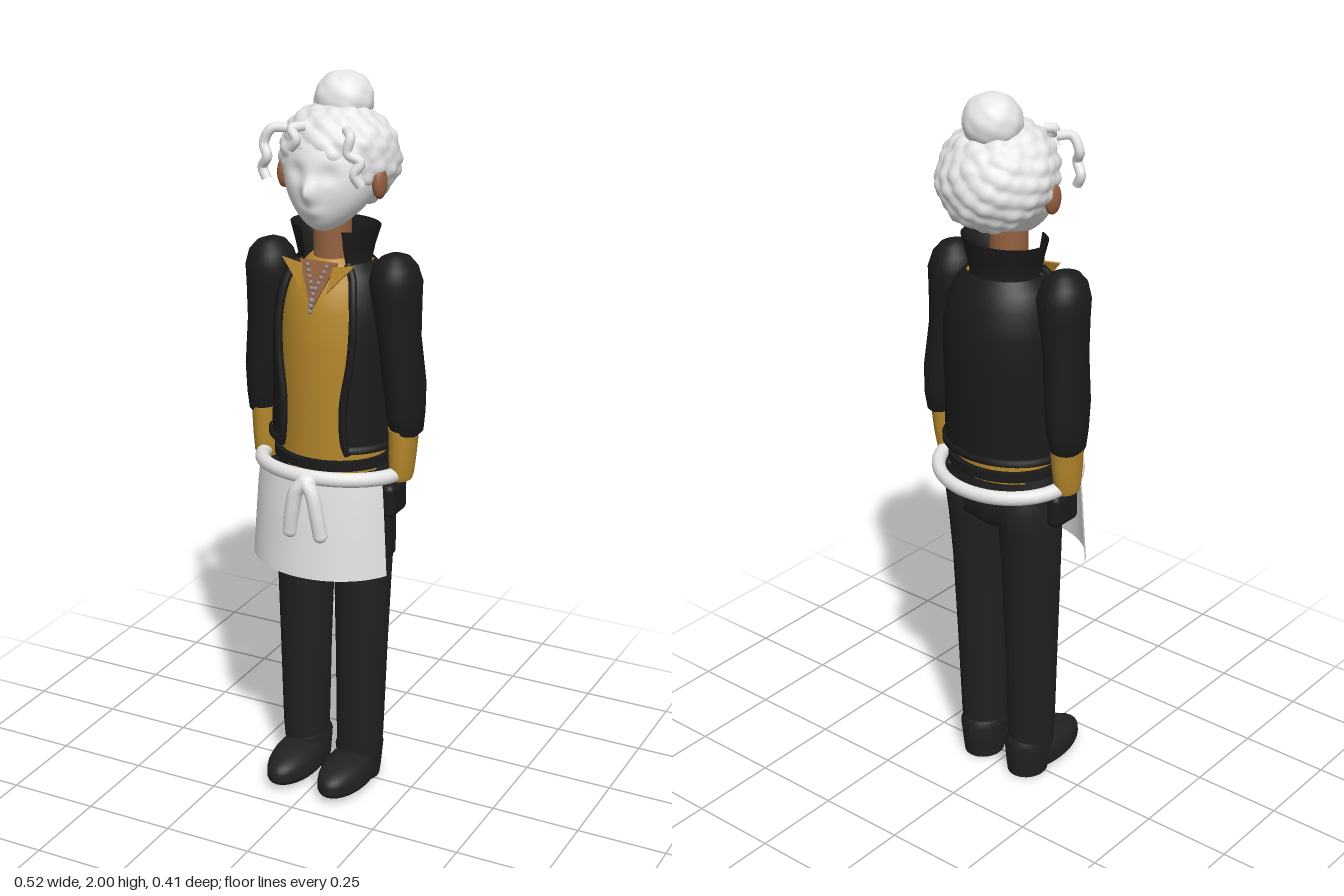
import * as THREE from 'three';
import { RoundedBoxGeometry } from 'three/addons/geometries/RoundedBoxGeometry.js';

const mat = (name, color, side = THREE.FrontSide) => {
  const m = new THREE.MeshStandardMaterial({ color, side });
  m.name = name;
  return m;
};
const TAU = Math.PI * 2;

// Skin through elliptical rings [y, cx, cz, rx, rz], bottom to top.
// arc(section) gives the angle range, measured from +z towards +x; without it the form is closed and capped.
function loft(sections, arc, n = 36) {
  const rings = sections.slice();
  if (!arc) {
    const a = rings[0], b = rings[rings.length - 1];
    rings.unshift([a[0], a[1], a[2], 0, 0], a);
    rings.push(b, [b[0], b[1], b[2], 0, 0]);
  }
  const pos = [], idx = [];
  rings.forEach((s, i) => {
    const [a0, a1] = arc ? arc(s) : [Math.PI, Math.PI + TAU];
    for (let j = 0; j <= n; j++) {
      const a = a0 + (a1 - a0) * j / n;
      pos.push(s[1] + Math.sin(a) * s[3], s[0], s[2] + Math.cos(a) * s[4]);
      if (i < rings.length - 1 && j < n) {
        const p = i * (n + 1) + j, q = p + n + 1;
        idx.push(p, p + 1, q + 1, p, q + 1, q);
      }
    }
  });
  const g = new THREE.BufferGeometry();
  g.setAttribute('position', new THREE.Float32BufferAttribute(pos, 3));
  g.setIndex(idx);
  g.computeVertexNormals();
  return g;
}

// Move every vertex of a geometry by a rule.
function warp(g, rule) {
  const p = g.attributes.position, v = new THREE.Vector3();
  for (let i = 0; i < p.count; i++) {
    rule(v.fromBufferAttribute(p, i));
    p.setXYZ(i, v.x, v.y, v.z);
  }
  g.computeVertexNormals();
  return g;
}

const tube = (pts, r, seg = 24) => new THREE.TubeGeometry(
  new THREE.CatmullRomCurve3(pts.map(p => new THREE.Vector3(...p))), seg, r, 10);

// Unit ball covered with evenly spread rounded curls.
function curlyBall(count, height, detail) {
  const dirs = [];
  for (let i = 0; i < count; i++) {
    const y = 1 - 2 * (i + 0.5) / count, a = i * 2.39996, r = Math.sqrt(1 - y * y);
    dirs.push([new THREE.Vector3(r * Math.cos(a), y, r * Math.sin(a)), 0.5 + 0.5 * Math.abs(Math.sin(i * 12.9))]);
  }
  return warp(new THREE.SphereGeometry(1, detail, detail / 2), v => {
    v.normalize();
    let bump = 0;
    for (const [d, h] of dirs) bump = Math.max(bump, h * Math.exp(-v.distanceToSquared(d) * count / 5));
    v.multiplyScalar(1 - height * 0.4 + height * bump);
  });
}

export function createModel() {
  const model = new THREE.Group();
  const white = mat('white', 0xe6e6e6), cloth = mat('white cloth', 0xe4e4e2, THREE.DoubleSide);
  const black = mat('jacket black', 0x1b1b1b, THREE.DoubleSide), trousers = mat('trouser black', 0x212121);
  const mustard = mat('mustard', 0xb5872b, THREE.DoubleSide), skin = mat('brown skin', 0x94603f, THREE.DoubleSide);
  const silver = mat('silver', 0x8c8884);
  const add = (name, geo, m, x = 0, y = 0, z = 0) => {
    const mesh = new THREE.Mesh(geo, m);
    mesh.name = name;
    mesh.position.set(x, y, z);
    model.add(mesh);
    return mesh;
  };

  // Face, with brow, eye sockets, nose, lips and chin
  const g2 = (a, b) => Math.exp(-a * a - b * b);
  add('face', warp(new THREE.SphereGeometry(1, 64, 48), v => {
    const { x, y, z } = v, low = Math.min(y, 0), front = z > 0 ? 1 : 0;
    const relief = 0.034 * g2(x / 0.13, (y + 0.2) / 0.2) + 0.008 * g2(x / 0.25, (y + 0.56) / 0.1)
      - 0.013 * g2((Math.abs(x) - 0.36) / 0.2, (y - 0.12) / 0.15);
    v.set(x * 0.125 * (1 - 0.3 * low * low), y * 0.145, z * 0.128 + 0.045 * low * low + front * relief);
  }), white, 0, 1.75, 0);

  // Curly hair and bun
  const hair = add('hair', curlyBall(150, 0.11, 96), white, 0, 1.785, -0.045);
  hair.scale.set(0.155, 0.132, 0.157);
  hair.rotation.x = -0.5;
  add('bun', curlyBall(40, 0.08, 48), white, 0, 1.925, -0.065).scale.set(0.077, 0.073, 0.075);

  // Loose curls at the front
  [
    [[-0.09, 1.87, 0.08], [-0.12, 1.87, 0.105], [-0.14, 1.83, 0.11], [-0.125, 1.8, 0.12], [-0.145, 1.77, 0.11], [-0.13, 1.74, 0.115]],
    [[-0.04, 1.88, 0.085], [-0.06, 1.875, 0.11], [-0.045, 1.85, 0.115], [-0.065, 1.825, 0.11]],
    [[0.08, 1.88, 0.08], [0.105, 1.87, 0.11], [0.1, 1.83, 0.115], [0.135, 1.81, 0.11], [0.12, 1.78, 0.12], [0.135, 1.75, 0.11]],
  ].forEach(p => add('looseCurl', tube(p, 0.013), white));

  // Neck, open neckline and necklace
  add('neck', loft([[1.44, 0, 0, 0.06, 0.06], [1.52, 0, 0, 0.05, 0.052], [1.66, 0, 0, 0.05, 0.05]]), skin);
  const tri = pts => {
    const s = new THREE.Shape(pts.map(p => new THREE.Vector2(...p)));
    return new THREE.ExtrudeGeometry(s, { depth: 0.006, bevelEnabled: false });
  };
  add('neckline', tri([[0, -0.12], [0.055, 0.01], [-0.055, 0.01]]), skin, 0, 1.52, 0.078).rotation.x = -0.36;
  for (let i = -5; i <= 5; i++)
    add('necklaceBead', new THREE.SphereGeometry(0.006, 10, 8), silver, i * 0.0055, 1.45 + Math.abs(i) * 0.014, 0.113 - Math.abs(i) * 0.005);
  for (let i = 0; i < 3; i++)
    add('pendant', new THREE.SphereGeometry(0.008 - i * 0.001, 10, 8), silver, 0, 1.435 - i * 0.014, 0.12 + i * 0.004);

  // Shirt, and the dark band under its hem
  add('shirt', loft([[0.96, 0, -0.01, 0.152, 0.13], [1.1, 0, -0.01, 0.145, 0.132], [1.3, 0, -0.01, 0.145, 0.138],
    [1.4, 0, -0.01, 0.138, 0.13], [1.46, 0, -0.01, 0.12, 0.115], [1.5, 0, -0.01, 0.09, 0.09], [1.53, 0, -0.01, 0.06, 0.065]]), mustard);
  add('waistBand', loft([[0.972, 0, -0.01, 0.165, 0.147], [0.998, 0, -0.01, 0.165, 0.147]]), black);

  // Open jacket; the sixth number of each ring is half the front opening
  const rings = [[1.02, 0, -0.012, 0.176, 0.146, 0.1], [1.05, 0, -0.012, 0.174, 0.148, 0.092], [1.15, 0, -0.014, 0.17, 0.15, 0.088],
    [1.28, 0, -0.016, 0.17, 0.154, 0.105], [1.38, 0, -0.018, 0.168, 0.15, 0.108], [1.45, 0, -0.018, 0.155, 0.132, 0.1],
    [1.49, 0, -0.018, 0.135, 0.112, 0.09], [1.52, 0, -0.018, 0.105, 0.09, 0.07]];
  const gap = s => Math.asin(s[5] / s[3]);
  const around = s => [gap(s), TAU - gap(s)];
  add('jacket', loft(rings, around, 48), black);
  add('jacketHem', loft([1.02, 1.024, 1.038, 1.042].map((y, i) => [y, 0, -0.012, 0.176 + (i % 3 ? 0.008 : 0), 0.146 + (i % 3 ? 0.008 : 0), 0.1]), around, 48), black);
  add('collar', loft([[1.46, 0, -0.016, 0.112, 0.1, 0.085], [1.51, 0, -0.016, 0.097, 0.082, 0.07],
    [1.56, 0, -0.016, 0.108, 0.09, 0.062], [1.61, 0, -0.018, 0.124, 0.096, 0.058]], around), black);
  add('collarLining', loft([[1.5, 0, -0.016, 0.088, 0.074, 0.06], [1.56, 0, -0.016, 0.1, 0.084, 0.057], [1.61, 0, -0.018, 0.122, 0.094, 0.058]], around), black);
  add('collarTrim', tube([-2.2, -1.1, 0, 1.1, 2.2].map(a => [Math.sin(a) * 0.106, 1.505, -0.016 - Math.cos(a) * 0.094]), 0.005), mustard);

  // Hips
  add('hips', loft([[0.8, 0, -0.02, 0.1, 0.07], [0.83, 0, -0.022, 0.168, 0.098], [0.88, 0, -0.024, 0.172, 0.104],
    [0.94, 0, -0.02, 0.168, 0.1], [0.98, 0, -0.015, 0.155, 0.11]]), trousers);

  for (const s of [-1, 1]) {
    // Jacket front edge and shirt collar point
    add('jacketEdge', tube(rings.map(r => [s * r[5], r[0], r[2] + Math.cos(gap(r)) * r[4]]), 0.011, 40), black);
    const point = add('shirtCollarPoint', tri([[s * 0.105, 0.02], [s * 0.045, 0.01], [s * 0.035, -0.06]]), mustard, 0, 1.51, 0.084);
    point.rotation.x = -0.3;
    add('ear', new THREE.SphereGeometry(1, 20, 14), skin, s * 0.137, 1.735, 0.005).scale.set(0.018, 0.042, 0.027);

    // Arm: puffed sleeve, cuff and gloved hand
    add('sleeve', loft([[1.055, s * 0.21, -0.015, 0.03, 0.04], [1.07, s * 0.212, -0.016, 0.042, 0.056], [1.12, s * 0.21, -0.016, 0.047, 0.068],
      [1.2, s * 0.206, -0.013, 0.054, 0.071], [1.33, s * 0.192, -0.005, 0.056, 0.068], [1.43, s * 0.183, -0.004, 0.067, 0.072],
      [1.48, s * 0.182, -0.003, 0.07, 0.074], [1.52, s * 0.182, 0, 0.058, 0.064], [1.543, s * 0.182, 0, 0.038, 0.045],
      [1.553, s * 0.18, 0, 0.014, 0.018]]), black);
    add('cuff', loft([[0.935, s * 0.203, -0.005, 0.028, 0.036], [0.95, s * 0.204, -0.005, 0.031, 0.042],
      [1.0, s * 0.205, -0.008, 0.034, 0.05], [1.08, s * 0.206, -0.012, 0.038, 0.056]]), mustard);
    add('hand', new RoundedBoxGeometry(0.042, 0.095, 0.1, 3, 0.018), black, s * 0.183, 0.878, 0);

    // Leg, turn-up and shoe
    add('leg', loft([[0.09, s * 0.084, -0.005, 0.062, 0.068], [0.14, s * 0.085, -0.005, 0.065, 0.07], [0.4, s * 0.087, -0.008, 0.071, 0.076],
      [0.65, s * 0.088, -0.012, 0.079, 0.083], [0.8, s * 0.089, -0.018, 0.083, 0.092], [0.87, s * 0.088, -0.024, 0.083, 0.1], [0.93, s * 0.08, -0.024, 0.07, 0.08]]), trousers);
    add('shoe', warp(new THREE.SphereGeometry(1, 32, 24), v => {
      const y = Math.sign(v.y) * Math.abs(v.y) ** 0.7;
      const wide = v.y < 0 ? 1 + 0.12 * -v.y : 1;
      v.set(v.x * 0.066 * wide, 0.04 + y * (y < 0 ? 0.04 : 0.062 - 0.008 * v.z), v.z * 0.14 + 0.06);
    }), trousers, s * 0.08);
    add('heel', loft([[0, s * 0.08, -0.015, 0.055, 0.06], [0.03, s * 0.08, -0.013, 0.06, 0.065], [0.1, s * 0.081, -0.01, 0.066, 0.076], [0.12, s * 0.082, -0.008, 0.06, 0.066]]), trousers);

    // Apron bow tail
    add('bowTail', tube([[0, 0.955, 0.185], [s * 0.022, 0.93, 0.19], [s * 0.036, 0.87, 0.19], [s * 0.045, 0.81, 0.185]], 0.02), cloth, 0.012);
    add('bowTailEnd', new THREE.SphereGeometry(0.02, 16, 12), cloth, 0.012 + s * 0.045, 0.81, 0.185);
  }
  // Slim pouch hanging on the left hip
  add('hipPouch', new RoundedBoxGeometry(0.03, 0.13, 0.05, 3, 0.01), black, 0.178, 0.78, 0.02);

  // Apron with rolled waist tie and knot
  add('apron', loft([[0.68, 0, 0, 0.222, 0.194], [0.78, 0, 0, 0.215, 0.188], [0.88, 0, 0, 0.208, 0.182], [0.96, 0, 0, 0.2, 0.172]], () => [-1.15, 1.15]), cloth);
  const tie = add('apronTie', new THREE.TorusGeometry(1, 0.1, 16, 64).rotateX(Math.PI / 2), cloth, 0, 0.95, -0.005);
  tie.scale.set(0.199, 0.2, 0.172);
  tie.rotation.x = -0.08;
  add('apronKnot', new THREE.SphereGeometry(1, 20, 14), cloth, 0.012, 0.952, 0.177).scale.set(0.03, 0.026, 0.024);
  return model;
}
